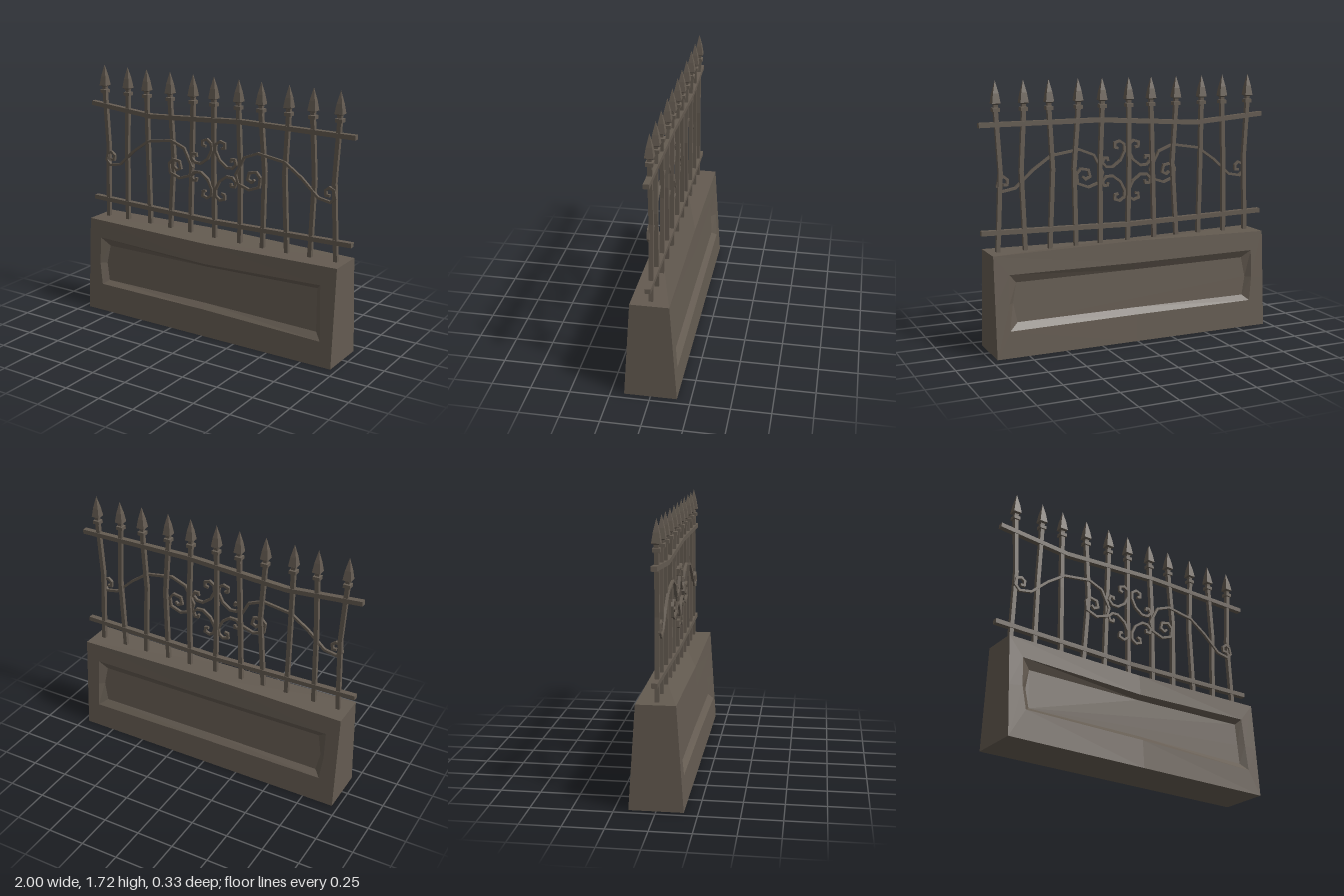
import * as THREE from 'three';

const iron = new THREE.MeshStandardMaterial({ color: 0x645b51, flatShading: true });
iron.name = 'weathered grey brown';

const V = (x, y, z) => new THREE.Vector3(x, y, z);

function meshFrom(name, tris) {
  const geo = new THREE.BufferGeometry().setFromPoints(tris);
  geo.computeVertexNormals();
  const mesh = new THREE.Mesh(geo, iron);
  mesh.name = name;
  return mesh;
}

const quad = (out, a, b, c, d) => out.push(a, b, c, a, c, d);

// Skin a list of equal-length rings, with optional end caps
function loft(rings, capStart = true, capEnd = true) {
  const out = [], n = rings[0].length;
  for (let i = 0; i < rings.length - 1; i++) {
    for (let j = 0; j < n; j++) {
      const k = (j + 1) % n;
      quad(out, rings[i][j], rings[i + 1][j], rings[i + 1][k], rings[i][k]);
    }
  }
  const first = rings[0], last = rings[rings.length - 1];
  for (let j = 1; j < n - 1; j++) {
    if (capStart) out.push(first[0], first[j], first[j + 1]);
    if (capEnd) out.push(last[0], last[j + 1], last[j]);
  }
  return out;
}

// Rectangular bar swept along an xy path with mitred corners
function bar(name, path, width, depth, z = 0) {
  const pts = path.map(([x, y]) => new THREE.Vector2(x, y));
  const w = width / 2, d = depth / 2;
  const rings = pts.map((p, i) => {
    const a = pts[Math.max(i - 1, 0)], b = pts[Math.min(i + 1, pts.length - 1)];
    const t1 = (i ? p.clone().sub(a) : b.clone().sub(p)).normalize();
    const t2 = (i < pts.length - 1 ? b.clone().sub(p) : t1.clone()).normalize();
    const t = t1.clone().add(t2).normalize();
    const m = w / Math.max(t.dot(t1), 0.6);
    const nx = -t.y * m, ny = t.x * m;
    return [V(p.x + nx, p.y + ny, z + d), V(p.x + nx, p.y + ny, z - d),
      V(p.x - nx, p.y - ny, z - d), V(p.x - nx, p.y - ny, z + d)];
  });
  return meshFrom(name, loft(rings));
}

const mirrorX = path => path.map(([x, y]) => [-x, y]);
const H = 0.65, W = 0.96;
const faceZ = y => 0.165 - 0.045 * Math.min(y / H, 1);

// Sloping wall face with a bevelled, sunken panel; loops run clockwise from bottom left
function wallFace(name, topMid, panel, inner) {
  const edge = [[-W, 0], [-W, H / 2], [-W, H], [0, topMid], [W, H], [W, H / 2], [W, 0], [0, 0]];
  const ring = (loop, sink) => loop.map(([x, y]) => V(x, y, faceZ(y) - sink));
  const outer = ring(edge, 0);
  outer[3].z = faceZ(H);
  return meshFrom(name, loft([outer, ring(panel, 0), ring(inner, 0.032)], false, true));
}

function buildWall() {
  const wall = new THREE.Group();
  wall.name = 'wall';
  const frontMid = 0.633, backMid = 0.665;
  wall.add(wallFace('frontPanel', frontMid,
    [[-0.845, 0.19], [-0.868, 0.34], [-0.866, 0.525], [0, 0.497], [0.855, 0.525], [0.865, 0.34], [0.876, 0.163], [0, 0.185]],
    [[-0.808, 0.217], [-0.83, 0.34], [-0.805, 0.468], [0, 0.47], [0.82, 0.49], [0.825, 0.34], [0.83, 0.208], [0, 0.22]]));
  const back = wallFace('backPanel', backMid,
    [[-0.87, 0.17], [-0.868, 0.34], [-0.86, 0.525], [0, 0.52], [0.87, 0.525], [0.87, 0.34], [0.85, 0.18], [0, 0.178]],
    [[-0.81, 0.215], [-0.835, 0.34], [-0.81, 0.468], [0, 0.47], [0.81, 0.475], [0.835, 0.34], [0.81, 0.215], [0, 0.218]]);
  back.rotation.y = Math.PI;
  wall.add(back);

  // Uneven top, ends and underside
  const t = faceZ(H), b = faceZ(0), shell = [];
  quad(shell, V(-W, H, t), V(0, frontMid, t), V(0, backMid, -t), V(-W, H, -t));
  quad(shell, V(0, frontMid, t), V(W, H, t), V(W, H, -t), V(0, backMid, -t));
  quad(shell, V(W, 0, b), V(W, 0, -b), V(W, H, -t), V(W, H, t));
  quad(shell, V(-W, 0, -b), V(-W, 0, b), V(-W, H, t), V(-W, H, -t));
  quad(shell, V(-W, 0, -b), V(W, 0, -b), V(W, 0, b), V(-W, 0, b));
  wall.add(meshFrom('wallShell', shell));
  return wall;
}

// Square collar and spear point turned from one profile
function buildFinial() {
  const profile = [[0, 1.525], [0.023, 1.527], [0.023, 1.55], [0.013, 1.553], [0.014, 1.57],
    [0.027, 1.578], [0.018, 1.64], [0, 1.72]];
  const pts = profile.map(([r, y]) => new THREE.Vector2(r * Math.SQRT2, y));
  const mesh = new THREE.Mesh(new THREE.LatheGeometry(pts, 4, Math.PI / 4), iron);
  mesh.name = 'spearFinial';
  return mesh;
}

function buildPickets() {
  const group = new THREE.Group();
  group.name = 'pickets';
  // x at the foot, the bend and the top
  const bends = [[-0.89, -0.872, -0.893], [-0.72, -0.712, -0.697], [-0.525, -0.535, -0.54],
    [-0.36, -0.325, -0.35], [-0.195, -0.18, -0.168], [0, -0.01, -0.008], [0.195, 0.195, 0.178],
    [0.365, 0.375, 0.343], [0.545, 0.52, 0.54], [0.71, 0.73, 0.707], [0.893, 0.866, 0.888]];
  for (const [foot, bend, top] of bends) {
    group.add(bar('picket', [[foot, 0.63], [bend, 1.15], [top, 1.53]], 0.027, 0.027));
    const finial = buildFinial();
    finial.position.x = top;
    group.add(finial);
  }
  return group;
}

function buildScrollwork() {
  const group = new THREE.Group();
  group.name = 'scrollwork';
  const z = 0.015, w = 0.016, d = 0.018;

  // Side arches, curled at both ends
  const arch = [[-0.845, 1.068], [-0.818, 1.068], [-0.815, 1.1], [-0.84, 1.12], [-0.872, 1.107],
    [-0.883, 1.06], [-0.85, 1.027], [-0.765, 1.043], [-0.648, 1.15], [-0.525, 1.235], [-0.333, 1.265],
    [-0.232, 1.225], [-0.17, 1.107], [-0.188, 1.045], [-0.27, 1.017], [-0.344, 1.045],
    [-0.352, 1.107], [-0.323, 1.14], [-0.27, 1.13], [-0.259, 1.085], [-0.29, 1.07], [-0.31, 1.088]];
  group.add(bar('leftArch', mirrorX(arch), w, d, z), bar('rightArch', arch, w, d, z));

  // Central ornament: one C-scroll in each quadrant
  const scroll = [[0.06, 0.15], [0.083, 0.155], [0.085, 0.185], [0.05, 0.197], [0.018, 0.175],
    [0.015, 0.13], [0.045, 0.07], [0.1, 0.03], [0.145, 0.032], [0.172, 0.06], [0.162, 0.09],
    [0.137, 0.09], [0.133, 0.07]];
  for (const sx of [-1, 1]) {
    for (const sy of [-1, 1]) {
      group.add(bar('centreScroll', scroll.map(([x, y]) => [sx * x, 1.11 + sy * y]), w, d, z));
    }
  }
  return group;
}

export function createModel() {
  const model = new THREE.Group();
  model.name = 'fenceSection';
  model.add(buildWall(), buildPickets(), buildScrollwork());

  // Sagging rails
  model.add(bar('topRail', [[-1, 1.448], [-0.5, 1.407], [0.2, 1.45], [1, 1.447]], 0.03, 0.036));
  model.add(bar('bottomRail', [[-1, 0.775], [0, 0.755], [1, 0.775]], 0.03, 0.036));
  return model;
}
